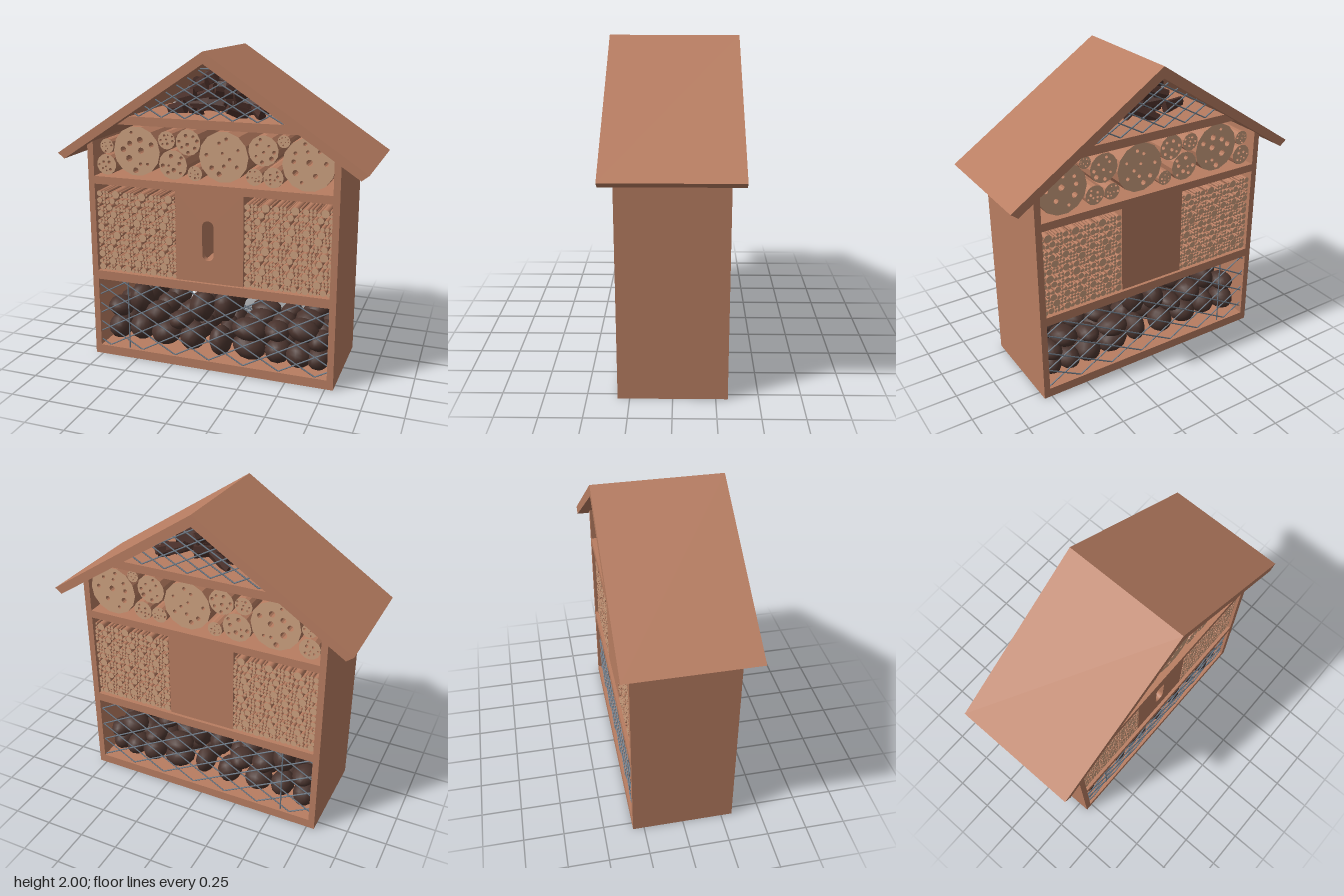
import * as THREE from 'three';
import { mergeGeometries } from 'three/addons/utils/BufferGeometryUtils.js';

const mat = (name, color, side = THREE.FrontSide) => {
  const m = new THREE.MeshStandardMaterial({ color, side });
  m.name = name;
  return m;
};

// small seeded generator
function seeded(seed) {
  let s = seed;
  return (a = 0, b = 1) => {
    s = (s * 16807) % 2147483647;
    return a + (b - a) * (s / 2147483647);
  };
}

const shapeOf = pts => new THREE.Shape(pts.map(p => new THREE.Vector2(p[0], p[1])));
const ring = (x, y, r, n, turn = 0) => Array.from({ length: n }, (_, i) => {
  const a = turn + (i / n) * Math.PI * 2;
  return new THREE.Vector2(x + r * Math.cos(a), y + r * Math.sin(a));
});

// extrude a front outline between two depths
function slab(shape, z0, z1) {
  const g = new THREE.ExtrudeGeometry(shape, { depth: z1 - z0, bevelEnabled: false, curveSegments: 10 });
  return g.translate(0, 0, z0);
}

// keep the part of segment a-b inside a convex counter-clockwise polygon
function clip(a, b, poly) {
  let t0 = 0, t1 = 1;
  for (let i = 0; i < poly.length; i++) {
    const p = poly[i], q = poly[(i + 1) % poly.length];
    const nx = -(q[1] - p[1]), ny = q[0] - p[0];
    const da = nx * (a[0] - p[0]) + ny * (a[1] - p[1]);
    const db = nx * (b[0] - p[0]) + ny * (b[1] - p[1]);
    if (da < 0 && db < 0) return null;
    if (da < 0) t0 = Math.max(t0, da / (da - db));
    else if (db < 0) t1 = Math.min(t1, da / (da - db));
  }
  if (t1 - t0 < 1e-3) return null;
  const at = t => [a[0] + (b[0] - a[0]) * t, a[1] + (b[1] - a[1]) * t];
  return [at(t0), at(t1)];
}

function wire(a, b, z, r = 0.0045) {
  const dx = b[0] - a[0], dy = b[1] - a[1];
  return new THREE.CylinderGeometry(r, r, Math.hypot(dx, dy), 6)
    .rotateZ(Math.atan2(dy, dx) - Math.PI / 2)
    .translate((a[0] + b[0]) / 2, (a[1] + b[1]) / 2, z);
}

// diamond netting filling a convex outline
function netting(poly, z, step, shift, slope = 0.56) {
  const parts = [], y0 = poly[0][1];
  for (const s of [-1, 1]) {
    for (let x = -3 + shift; x < 3; x += step) {
      const seg = clip([x - s * 1, y0 - slope], [x + s * 1, y0 + slope], poly);
      if (seg) parts.push(wire(seg[0], seg[1], z));
    }
  }
  return parts;
}

export function createModel() {
  const root = new THREE.Group();
  root.name = 'insectHouse';
  const wood = mat('wood', 0xb87d61);
  const cut = mat('cutWood', 0xcda180);
  const stone = mat('darkStone', 0x4a342e);
  const bark = mat('bark', 0x4b302a);
  const metal = mat('wire', 0x6f7b88);
  const add = (name, geo, m) => {
    const mesh = new THREE.Mesh(geo, m);
    mesh.name = name;
    root.add(mesh);
    return mesh;
  };
  const box = (name, x0, x1, y0, y1, z0, z1) => add(name,
    new THREE.BoxGeometry(x1 - x0, y1 - y0, z1 - z0)
      .translate((x0 + x1) / 2, (y0 + y1) / 2, (z0 + z1) / 2), wood);

  // frame: walls, floor and shelves
  const D = 0.32;
  for (const s of [-1, 1]) {
    const pts = [[s * 0.76, 0], [s * 0.8, 0], [s * 0.8, 1.41], [s * 0.76, 1.435]];
    add(s > 0 ? 'leftWall' : 'rightWall', slab(shapeOf(pts), -D, D), wood);
  }
  box('floor', -0.76, 0.76, 0, 0.06, -D, D);
  box('lowerShelf', -0.76, 0.76, 0.525, 0.583, -D, D);
  box('middleShelf', -0.76, 0.76, 1.16, 1.21, -D, D);
  add('atticFloor', slab(shapeOf([[-0.585, 1.545], [0.585, 1.545], [0.505, 1.598], [-0.505, 1.598]]), -D, D), wood);

  // roof halves
  for (const s of [-1, 1]) {
    const pts = [[0, 2], [0, 1.93], [s * 0.925, 1.323], [s * 0.968, 1.357]];
    add(s > 0 ? 'leftRoof' : 'rightRoof', slab(shapeOf(pts), -0.39, 0.39), wood);
  }

  // central nesting box with a slot in the front
  const Z = 0.3;
  const front = shapeOf([[-0.22, 0.583], [0.22, 0.583], [0.22, 1.16], [-0.22, 1.16]]);
  const slot = new THREE.Path();
  slot.absarc(-0.008, 0.943, 0.037, 0, Math.PI, false);
  slot.absarc(-0.008, 0.763, 0.037, Math.PI, Math.PI * 2, false);
  slot.closePath();
  front.holes.push(slot);
  add('nestBoxFront', slab(front, Z - 0.04, Z), wood);
  box('nestBoxBack', -0.22, 0.22, 0.583, 1.16, -Z, -Z + 0.04);
  for (const s of [-1, 1]) box('nestBoxSide', s * 0.2 - 0.02, s * 0.2 + 0.02, 0.583, 1.16, -Z + 0.04, Z - 0.04);

  // reed bundles, packed row by row, with pale cut ends
  const sides = [], ends = [];
  const reed = (x, y, r) => {
    const n = r > 0.015 ? 12 : 8;
    sides.push(new THREE.CylinderGeometry(r, r, 2 * Z, n, 1, true).rotateX(Math.PI / 2).translate(x, y, 0));
    ends.push(new THREE.CircleGeometry(r, n).translate(x, y, Z));
    ends.push(new THREE.CircleGeometry(r, n).rotateY(Math.PI).translate(x, y, -Z));
  };
  for (const x0 of [-0.758, 0.224]) {
    for (let tile = 0; tile < 6; tile++) {
      const rnd = seeded(4711);
      const left = x0 + (tile % 3) * 0.179, base = 0.585 + Math.floor(tile / 3) * 0.268;
      for (let row = 0; row < 6; row++) {
        let x = left;
        while (x < left + 0.165) {
          const r = Math.min(rnd() < 0.45 ? rnd(0.017, 0.025) : rnd(0.008, 0.014), (left + 0.181 - x) / 2);
          const y = base + 0.022 + row * 0.0437;
          if (r < 0.014) {
            reed(x + r, y - 0.021 + r, r);
            if (r < 0.0115) reed(x + r, y + 0.022 - r, r * 0.9);
          } else reed(x + r, y, r);
          x += 2 * r + 0.001;
        }
      }
    }
  }
  add('reedSides', mergeGeometries(sides), wood);
  add('reedEnds', mergeGeometries(ends), cut);

  // drilled logs: x, y, radius
  const logs = [
    [-0.475, 1.38, 0.155], [0.09, 1.38, 0.155], [0.605, 1.37, 0.157], [-0.275, 1.46, 0.056],
    [-0.135, 1.455, 0.08], [-0.235, 1.312, 0.092], [-0.093, 1.268, 0.047], [0.335, 1.435, 0.092],
    [0.457, 1.497, 0.038], [0.282, 1.275, 0.052], [0.397, 1.28, 0.062], [-0.678, 1.4, 0.046], [-0.685, 1.283, 0.066],
  ];
  const rl = seeded(913);
  for (const [x, y, r] of logs) {
    const shape = new THREE.Shape(ring(x, y, r, 14, rl()));
    const holes = [], want = r > 0.1 ? 10 : 8;
    for (let k = 0; k < 200 && holes.length < want; k++) {
      const h = r > 0.1 ? rl(0.009, 0.023) : r * rl(0.09, 0.17);
      const a = rl(0, Math.PI * 2), d = Math.sqrt(rl(0, 0.62)) * r;
      const c = [x + d * Math.cos(a), y + d * Math.sin(a), h];
      if (holes.every(o => Math.hypot(o[0] - c[0], o[1] - c[1]) > o[2] + h + r * 0.14)) holes.push(c);
    }
    holes.forEach(c => shape.holes.push(new THREE.Path(ring(c[0], c[1], c[2], 10))));
    add('drilledLog', slab(shape, -0.29, 0.29), [cut, wood]);
  }

  // stones in the bottom bay: x, y, half width, half height
  const pile = [
    [-0.67, 0.3, 0.085, 0.065], [-0.52, 0.37, 0.075, 0.1], [-0.39, 0.3, 0.085, 0.075], [-0.085, 0.38, 0.08, 0.105],
    [0.065, 0.4, 0.075, 0.11], [0.23, 0.265, 0.115, 0.07], [0.41, 0.275, 0.08, 0.06], [0.58, 0.31, 0.1, 0.07],
    [0.68, 0.25, 0.075, 0.065], [-0.68, 0.155, 0.08, 0.085], [-0.52, 0.17, 0.085, 0.09], [-0.35, 0.155, 0.1, 0.085],
    [-0.15, 0.17, 0.085, 0.095], [0.04, 0.165, 0.07, 0.1], [0.23, 0.15, 0.11, 0.08], [0.42, 0.15, 0.085, 0.08],
    [0.56, 0.15, 0.085, 0.08], [0.68, 0.14, 0.075, 0.075], [-0.23, 0.27, 0.08, 0.06],
  ];
  const rs = seeded(77), stones = [];
  for (const z of [0.19, 0.01, -0.17]) {
    for (const [x, y, w, h] of pile) {
      const k = z > 0.1 ? 1 : rs(0.86, 1);
      stones.push(new THREE.SphereGeometry(1, 12, 9).rotateX(rs(0, 3)).rotateZ(rs(0, 3))
        .scale(w * k, h * k, 0.095).rotateZ(rs(-0.3, 0.3))
        .translate(x, y - (1 - k) * h, z + rs(-0.02, 0.02)));
    }
  }
  add('stones', mergeGeometries(stones), stone);

  // heap of bark chips in the attic
  const rb = seeded(2024), chips = [];
  for (let layer = 0; layer < 6; layer++) {
    const half = 0.31 - layer * 0.05;
    for (let i = 0; i < 13 - layer; i++) {
      chips.push(new THREE.CylinderGeometry(0.03, 0.045, rb(0.14, 0.2), 6).scale(1, 1, 0.55)
        .rotateZ(Math.PI / 2 + rb(-0.5, 0.5)).rotateY(rb(-0.9, 0.9))
        .translate(rb(-half, half), 1.637 + layer * 0.037, rb(-0.2, 0.2)));
    }
  }
  add('barkChips', mergeGeometries(chips).toNonIndexed(), bark).geometry.computeVertexNormals();

  // wire netting on the front and back of the bottom bay and attic
  const bay = [[-0.76, 0.06], [0.76, 0.06], [0.76, 0.525], [-0.76, 0.525]];
  const gable = [[-0.5, 1.6], [0.5, 1.6], [0, 1.925]];
  for (const s of [-1, 1]) {
    const z = s * 0.3, shift = s > 0 ? 0 : 0.08;
    const name = s > 0 ? 'front' : 'back';
    add(name + 'BayNetting', mergeGeometries([
      ...netting(bay, z, 0.23, shift), wire([-0.56, 0.06], [-0.56, 0.525], z),
    ]), metal);
    add(name + 'AtticNetting', mergeGeometries([
      ...netting(gable, z, 0.15, shift), wire([-0.05, 1.895], [0.05, 1.895], z),
    ]), metal);
  }
  return root;
}
